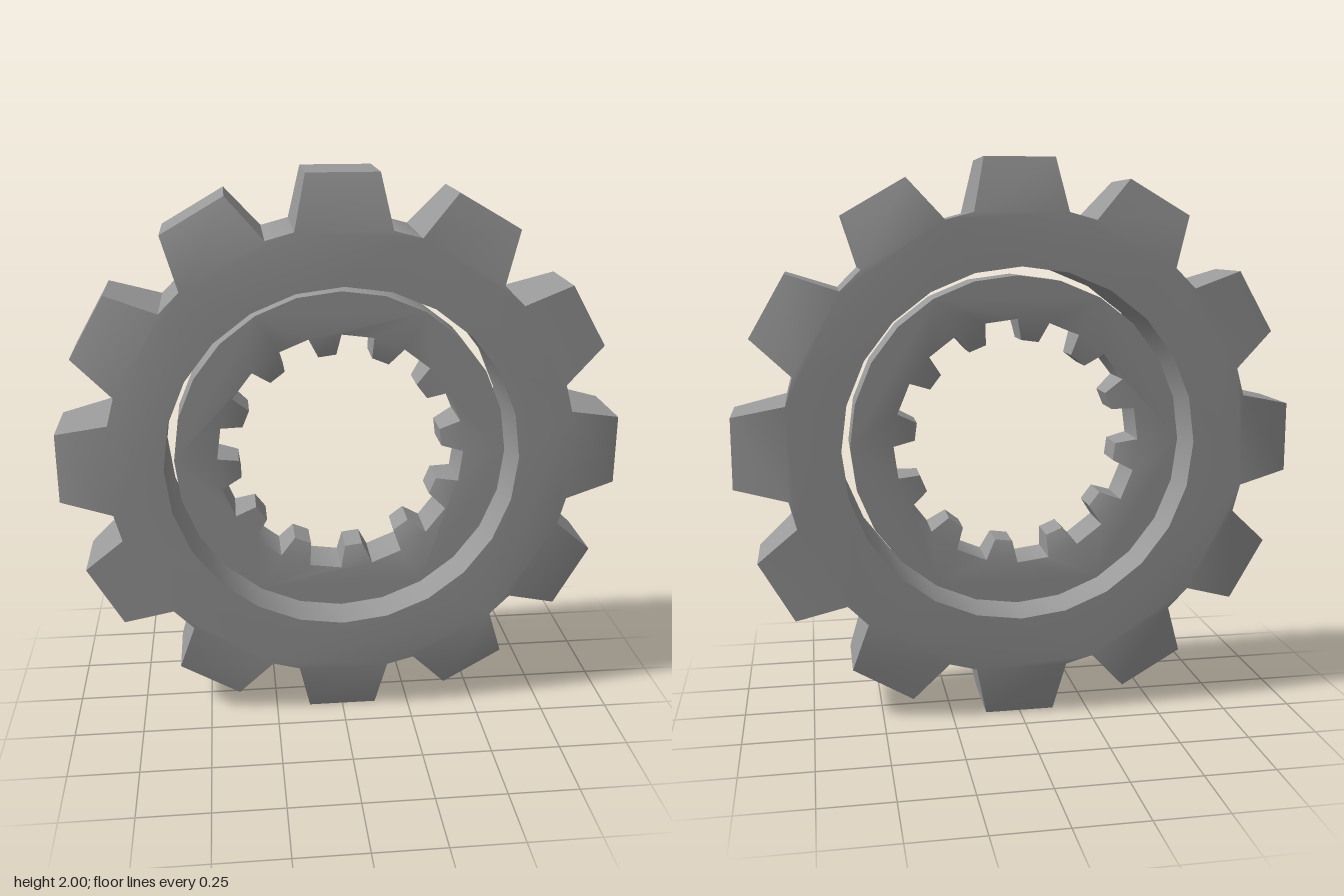
import * as THREE from 'three';
import { mergeGeometries, toCreasedNormals } from 'three/addons/utils/BufferGeometryUtils.js';

const TEETH = 12;
const rad = THREE.MathUtils.degToRad;
// Counter-clockwise from the top
const polar = (r, deg) => new THREE.Vector2(-r * Math.sin(rad(deg)), r * Math.cos(rad(deg)));
const polygon = (r) => Array.from({ length: 24 }, (_, i) => polar(r, i * 15));
const material = new THREE.MeshStandardMaterial({ color: 0x999999 });

// Flat ring of the given half thickness, centred on z = 0
function ring(outline, boreRadius, halfZ) {
  const shape = new THREE.Shape(outline);
  shape.holes.push(new THREE.Path(polygon(boreRadius)));
  const geo = new THREE.ExtrudeGeometry(shape, { depth: 2 * halfZ, bevelEnabled: false });
  return geo.translate(0, 0, -halfZ);
}

// Twelve tapered blocks, from base [halfX, halfZ] to tip [halfX, halfZ], around the axis
function teeth(base, tip, baseRadius, tipRadius, startDeg) {
  const height = Math.abs(tipRadius - baseRadius);
  const block = new THREE.BoxGeometry(2, height, 2).translate(0, height / 2, 0).toNonIndexed();
  const p = block.attributes.position;
  for (let i = 0; i < p.count; i++) {
    const [hx, hz] = p.getY(i) > height / 2 ? tip : base;
    p.setX(i, p.getX(i) * hx);
    p.setZ(i, p.getZ(i) * hz);
  }
  if (tipRadius < baseRadius) block.rotateZ(Math.PI);
  block.translate(0, baseRadius, 0);
  return mergeGeometries(Array.from({ length: TEETH }, (_, i) =>
    block.clone().rotateZ(rad(startDeg + i * 360 / TEETH))));
}

export function createModel() {
  const model = new THREE.Group();
  model.name = 'gear';
  // Ring and teeth are joined so their shading blends across gentle slopes
  const add = (name, ringGeo, teethGeo) => {
    const mesh = new THREE.Mesh(toCreasedNormals(mergeGeometries([ringGeo, teethGeo]), rad(30)), material);
    mesh.name = name;
    mesh.position.y = 1;
    model.add(mesh);
  };

  // Outer gear: wide teeth with narrow flat gaps between them
  const root = 0.83, half = 11.5;
  const outline = [];
  for (let i = 0; i < TEETH; i++) {
    outline.push(polar(root, i * 30 - half), polar(root, i * 30 + half));
  }
  add('outerGear',
    ring(outline, 0.63, 0.175),
    teeth([root * Math.sin(rad(half)), 0.175], [0.125, 0.13], root * Math.cos(rad(half)), 1, 0));

  // Thinner loose hub ring with small teeth pointing inwards
  const bore = 0.445;
  add('hubRing',
    ring(polygon(0.597), bore, 0.088),
    teeth([bore * Math.sin(rad(7.5)), 0.088], [0.032, 0.066], bore * Math.cos(rad(7.5)), 0.367, 7.5));

  return model;
}
